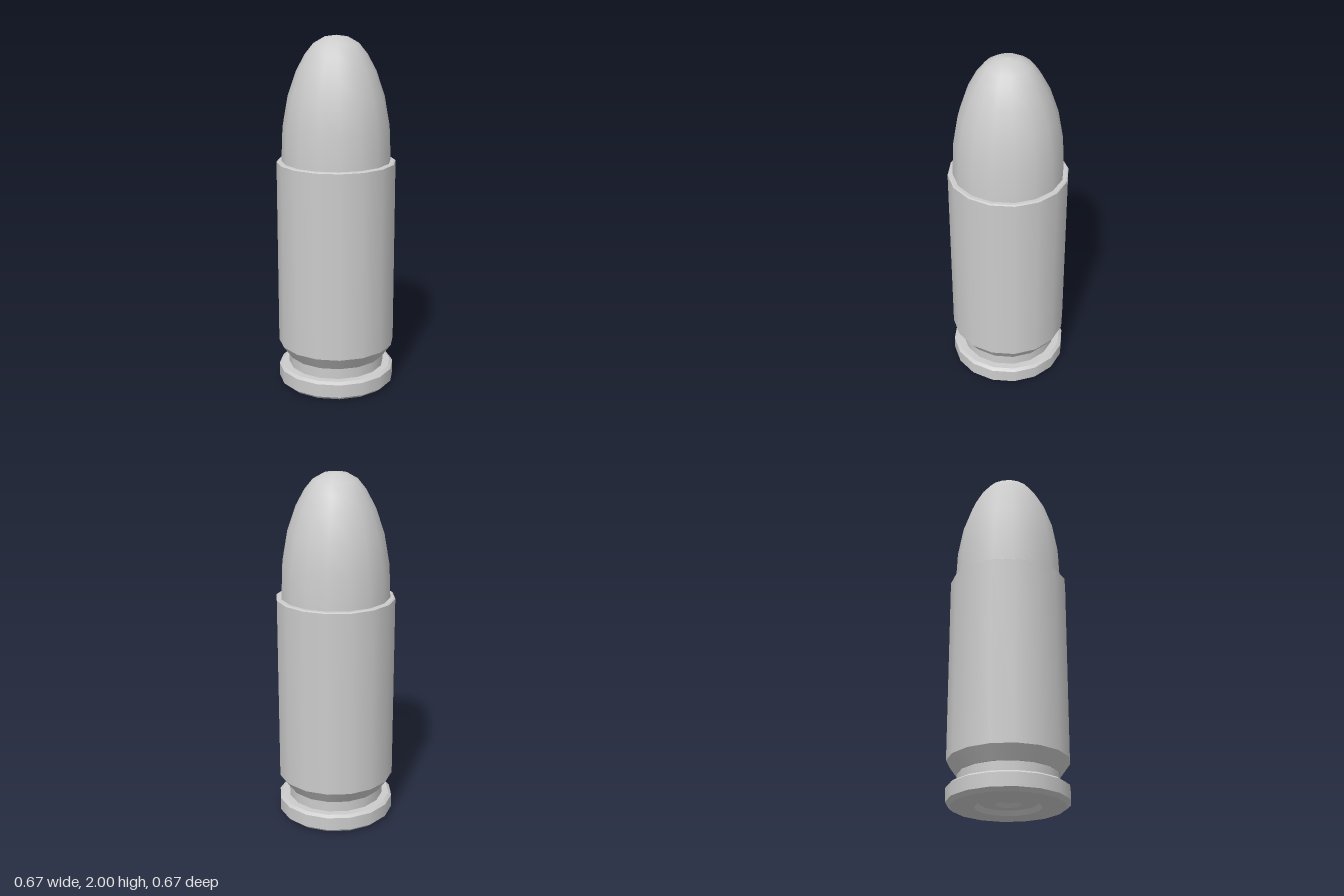
import * as THREE from 'three';
import { mergeGeometries } from 'three/addons/utils/BufferGeometryUtils.js';

const SIDES = 16;

// Each band is a separate smooth lathe, so the edges between bands stay sharp.
function turned(name, bands, material) {
  const parts = bands.map((band) =>
    new THREE.LatheGeometry(band.map(([r, y]) => new THREE.Vector2(r, y)), SIDES));
  const mesh = new THREE.Mesh(mergeGeometries(parts), material);
  mesh.name = name;
  return mesh;
}

// Splits a profile into one band per segment.
const facets = (profile) => profile.slice(1).map((p, i) => [profile[i], p]);

export function createModel() {
  const group = new THREE.Group();
  group.name = 'cartridge';
  const material = new THREE.MeshStandardMaterial({ color: 0xcccccc });

  // Primer cup with the small central dent, set into the base
  group.add(turned('primer', [
    ...facets([[0, 0.035], [0.045, 0.035], [0.07, 0.015]]),
    [[0.07, 0.015], [0.125, 0.016], [0.16, 0.025]],
  ], material));

  // Base rim, extractor groove, taper, wall and mouth
  group.add(turned('case', facets([
    [0.16, 0.025], [0.18, 0], [0.31, 0], [0.333, 0.02], [0.333, 0.095],
    [0.315, 0.108], [0.275, 0.108], [0.275, 0.17], [0.28, 0.17],
    [0.333, 0.245], [0.333, 1.305], [0.325, 1.31], [0.3, 1.31],
  ]), material));

  // Rounded nose seated in the mouth
  group.add(turned('bullet', [
    [[0.305, 1.3], [0.305, 1.315], [0.297, 1.5], [0.267, 1.67], [0.219, 1.81],
      [0.17, 1.9], [0.124, 1.957], [0.066, 1.99], [0, 2]],
  ], material));

  return group;
}
